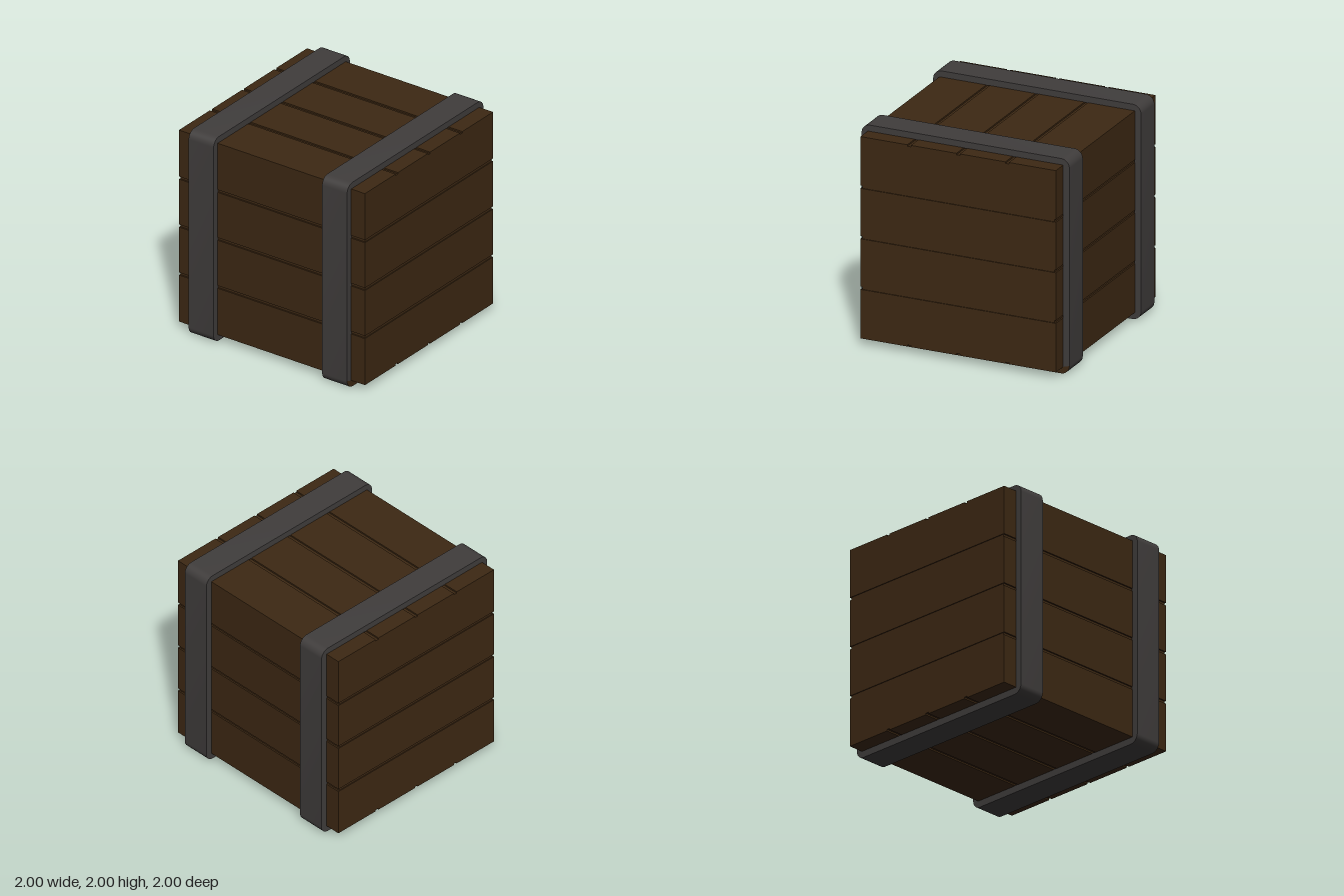
import * as THREE from 'three';
import { toCreasedNormals } from 'three/addons/utils/BufferGeometryUtils.js';

const wood = new THREE.MeshStandardMaterial({ color: 0x3d2813 });
const iron = new THREE.MeshStandardMaterial({ color: 0x403d3c });

const BOTTOM = 0.063, TOP = 1.942, HALF_Z = 0.94, GAP = 0.013;
const R = 0.08; // strap corner radius
const STRAP_X = 0.718, STRAP_W = 0.268;

function add(group, name, geometry, material) {
  const mesh = new THREE.Mesh(geometry, material);
  mesh.name = name;
  group.add(mesh);
  return mesh;
}

// Extrude a (z, y) outline along x, centred on x = 0
function extrudeAlongX(shape, width) {
  const g = new THREE.ExtrudeGeometry(shape, { depth: width, bevelEnabled: false, curveSegments: 5 });
  g.translate(0, 0, -width / 2);
  g.rotateY(Math.PI / 2);
  return g;
}

// Outer board course, with grooves cut in the face at height `face`
function groovedCourse(inner, face) {
  const floor = face + Math.sign(inner - face) * 0.014;
  const pts = [[-HALF_Z, inner], [-HALF_Z, face]];
  for (const z of [-0.472, 0, 0.472]) {
    pts.push([z - 0.017, face], [z - 0.017, floor], [z + 0.017, floor], [z + 0.017, face]);
  }
  pts.push([HALF_Z, face], [HALF_Z, inner]);
  return extrudeAlongX(new THREE.Shape(pts.map(([z, y]) => new THREE.Vector2(z, y))), 2);
}

// Closed band with rounded outer corners
function strapGeometry() {
  const s = new THREE.Shape();
  s.moveTo(-1 + R, 0);
  s.absarc(1 - R, R, R, -Math.PI / 2, 0);
  s.absarc(1 - R, 2 - R, R, 0, Math.PI / 2);
  s.absarc(-1 + R, 2 - R, R, Math.PI / 2, Math.PI);
  s.absarc(-1 + R, R, R, Math.PI, Math.PI * 1.5);
  const z = HALF_Z - 0.003, y0 = BOTTOM + 0.003, y1 = TOP - 0.003;
  s.holes.push(new THREE.Path([[-z, y0], [-z, y1], [z, y1], [z, y0]].map((p) => new THREE.Vector2(...p))));
  return toCreasedNormals(extrudeAlongX(s, STRAP_W), 0.6);
}

export function createModel() {
  const model = new THREE.Group();
  model.name = 'crate';

  // Boards: four courses separated by shallow grooves
  const boards = new THREE.Group();
  boards.name = 'boards';
  model.add(boards);
  const seams = [0.532, 1.003, 1.473];
  add(boards, 'bottomBoards', groovedCourse(seams[0] - GAP, BOTTOM), wood);
  for (let i = 0; i < 2; i++) {
    const h = seams[i + 1] - seams[i] - 2 * GAP;
    add(boards, 'middleBoards', new THREE.BoxGeometry(2, h, 2 * HALF_Z), wood)
      .position.y = (seams[i] + seams[i + 1]) / 2;
  }
  add(boards, 'topBoards', groovedCourse(seams[2] + GAP, TOP), wood);

  // Core that closes the seams
  add(boards, 'core', new THREE.BoxGeometry(1.984, 1.7, 2 * HALF_Z - 0.028), wood).position.y = 1.0025;

  // Metal straps
  const band = strapGeometry();
  for (const side of [-1, 1]) {
    add(model, side > 0 ? 'leftStrap' : 'rightStrap', band, iron).position.x = side * STRAP_X;
  }

  // Wood-coloured lower edge on the outer face of the left strap
  const edge = new THREE.Shape();
  edge.moveTo(-1, R);
  edge.absarc(-1 + R, R, R, Math.PI, Math.PI * 1.5);
  edge.absarc(1 - R, R, R, -Math.PI / 2, 0);
  edge.lineTo(HALF_Z, BOTTOM);
  edge.lineTo(-HALF_Z, BOTTOM);
  const edgeGeometry = new THREE.ShapeGeometry(edge, 5);
  edgeGeometry.rotateY(Math.PI / 2);
  add(model, 'strapLowerEdge', edgeGeometry, wood).position.x = STRAP_X + STRAP_W / 2 + 0.001;

  return model;
}
